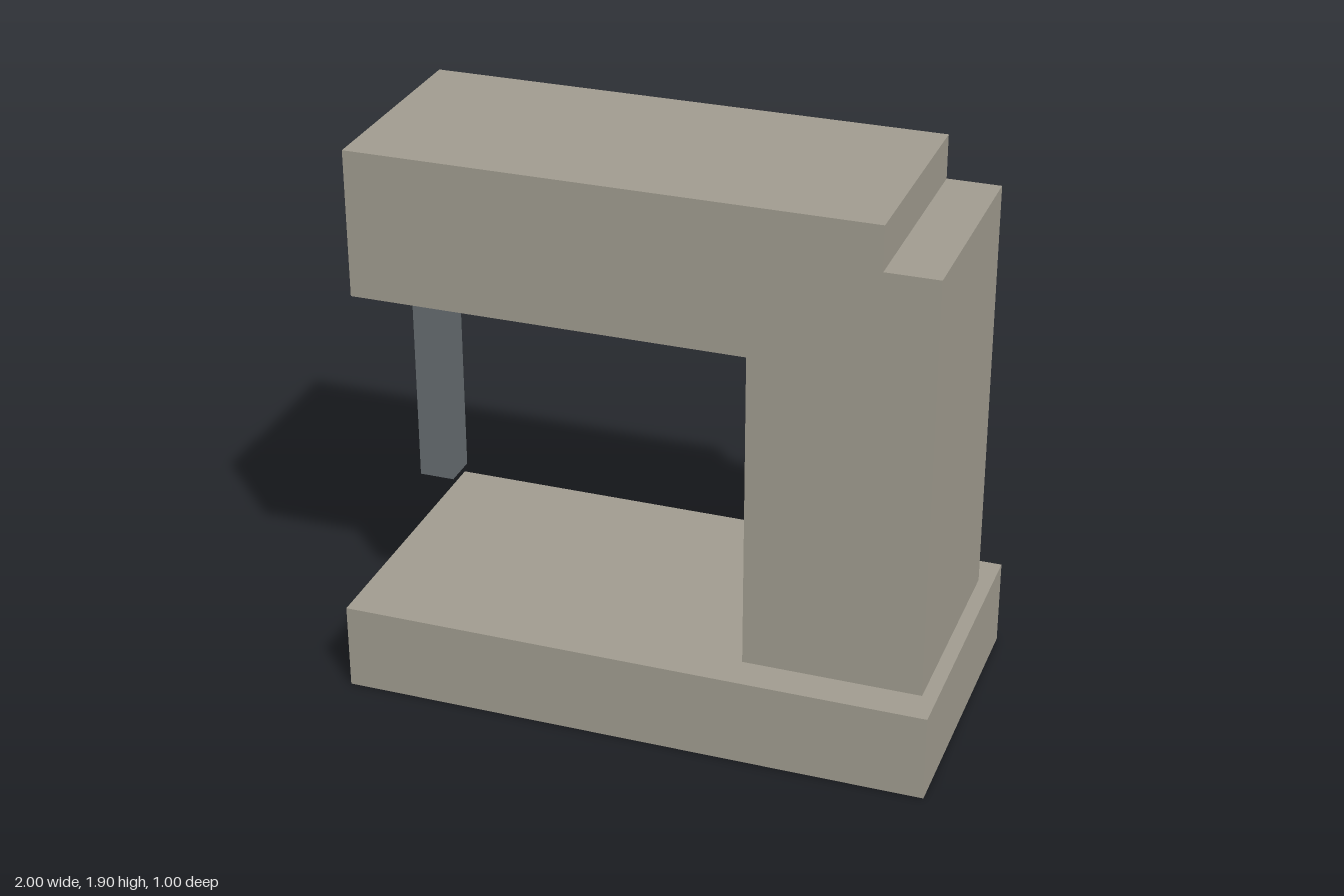
import * as THREE from 'three';

export function createModel() {
  const group = new THREE.Group();
  const bodyMaterial = new THREE.MeshStandardMaterial({ color: 0xa09b8f });
  const needleMaterial = new THREE.MeshStandardMaterial({ color: 0x666c70 });

  function add(name, geometry, material, x = 0, y = 0, z = 0) {
    const mesh = new THREE.Mesh(geometry, material);
    mesh.name = name;
    mesh.position.set(x, y, z);
    group.add(mesh);
  }

  // Flat bed that everything stands on
  add('base', new THREE.BoxGeometry(2, 0.3, 1), bodyMaterial, 0, 0.15);

  // Column and overhanging arm as one profile, with the step at the top corner
  const profile = new THREE.Shape([
    [0.35, 0.3], [0.95, 0.3], [0.95, 1.75], [0.77, 1.75],
    [0.77, 1.9], [-0.975, 1.9], [-0.975, 1.4], [0.35, 1.4],
  ].map(([x, y]) => new THREE.Vector2(x, y)));
  const depth = 0.75;
  add('columnAndArm', new THREE.ExtrudeGeometry(profile, { depth, bevelEnabled: false }),
    bodyMaterial, 0, 0, -depth / 2);

  // Square bar hanging from the free end of the arm
  add('needleBar', new THREE.BoxGeometry(0.12, 0.8, 0.12), needleMaterial, -0.85, 1.0);

  return group;
}
